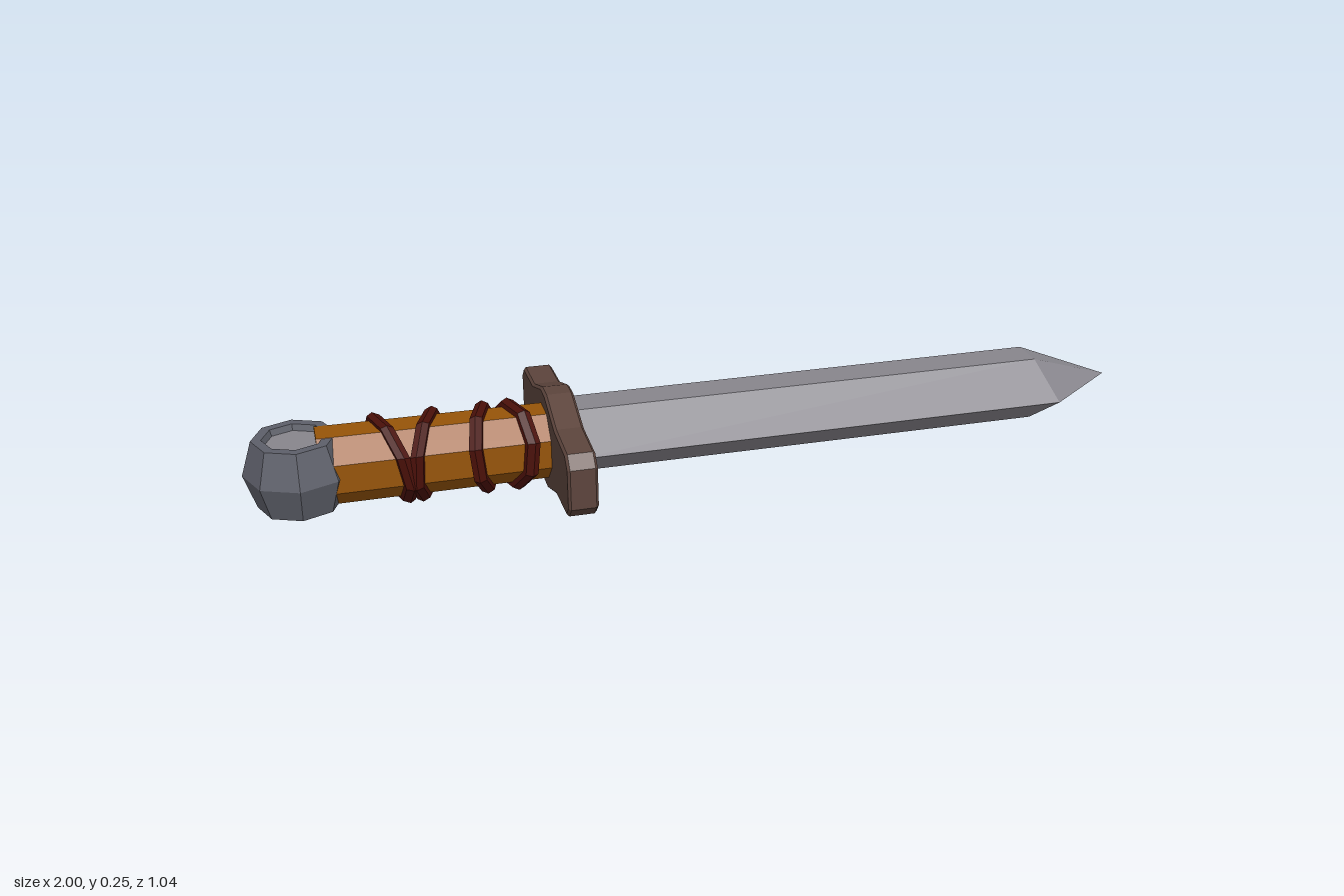
import * as THREE from 'three';
import { ConvexGeometry } from 'three/addons/geometries/ConvexGeometry.js';

const mat = (name, color) => Object.assign(new THREE.MeshStandardMaterial({ color }), { name });

// Facet a geometry so every face has its own normal
function facet(g) {
  const f = g.index ? g.toNonIndexed() : g;
  f.computeVertexNormals();
  return f;
}

export function createModel() {
  const steel = mat('blade steel', 0x87858c);
  const iron = mat('pommel iron', 0x5d5f69);
  const leather = mat('grip leather', 0x965408);
  const cord = mat('cord red', 0x4a1009);
  const bronze = mat('guard brown', 0x5c443c);

  // The knife is built along x, with its width along z, then turned
  const knife = new THREE.Group();
  knife.name = 'knife';
  const add = (name, geo, material, x = 0, y = 0, z = 0) => {
    const m = new THREE.Mesh(facet(geo), material);
    m.name = name;
    m.position.set(x, y, z);
    knife.add(m);
    return m;
  };

  // Blade: six-sided section running to a point
  const pts = [new THREE.Vector3(1.108, 0, 0)];
  for (const s of [-1, 1]) {
    for (const x of [-0.34, 0.913]) pts.push(new THREE.Vector3(x, 0, s * 0.145));
    for (const t of [-1, 1])
      for (const x of [-0.34, 0.885]) pts.push(new THREE.Vector3(x, t * 0.081, s * 0.043));
  }
  add('blade', new ConvexGeometry(pts), steel, 0, 0.004, 0);

  // Guard: tapered crossbar, highest in the middle
  const half = [[0.293, 0.05], [0.265, 0.079], [0.14, 0.085], [0.025, 0.125]];
  const flip = (a, sx, sy) => a.map(([x, y]) => new THREE.Vector2(sx * x, sy * y));
  const rev = [...half].reverse();
  const outline = new THREE.Shape([
    ...flip(half, 1, 1), ...flip(rev, -1, 1), ...flip(half, -1, -1), ...flip(rev, 1, -1),
  ]);
  const guard = new THREE.ExtrudeGeometry(outline, {
    depth: 0.059, bevelEnabled: true, bevelSegments: 1,
    bevelSize: 0.006, bevelThickness: 0.006, bevelOffset: -0.006,
  });
  guard.rotateY(Math.PI / 2);
  add('guard', guard, bronze, -0.376, 0, 0);

  // Grip: eight-sided handle
  const grip = new THREE.CylinderGeometry(0.093, 0.091, 0.55, 8);
  grip.rotateY(Math.PI / 8).rotateZ(Math.PI / 2);
  add('grip', grip, leather, -0.645, 0, 0.01);

  // Cord wraps: [centre, lean across the width, lean over the height]
  const wraps = [[-0.75, 0.3, -0.2], [-0.665, -0.37, 0.05], [-0.528, -0.32, -0.1], [-0.46, 0.33, 0.1]];
  for (const [x, leanZ, leanY] of wraps) {
    const ring = new THREE.TorusGeometry(0.097, 0.015, 6, 8);
    ring.rotateZ(Math.PI / 8).rotateY(Math.PI / 2);
    const p = ring.attributes.position;
    for (let i = 0; i < p.count; i++)
      p.setX(i, p.getX(i) * 1.15 + leanZ * p.getZ(i) + leanY * p.getY(i));
    add('cordWrap', ring, cord, x, 0, 0.01);
  }

  // Pommel: eight-sided barrel with a sunken disc above and below
  const profile = [[0.068, -0.068], [0.074, -0.085], [0.098, -0.085], [0.125, 0],
    [0.098, 0.085], [0.074, 0.085], [0.068, 0.068]].map(([x, y]) => new THREE.Vector2(x, y));
  add('pommel', new THREE.LatheGeometry(profile, 8), iron, -0.968, 0, 0.016);
  const disc = new THREE.CylinderGeometry(0.069, 0.069, 0.008, 8);
  for (const s of [-1, 1]) add('pommelDisc', disc, steel, -0.968, s * 0.066, 0.016);

  knife.position.y = 0.125;
  knife.rotation.y = -THREE.MathUtils.degToRad(25.4);
  const model = new THREE.Group();
  model.name = 'model';
  model.add(knife);
  return model;
}
